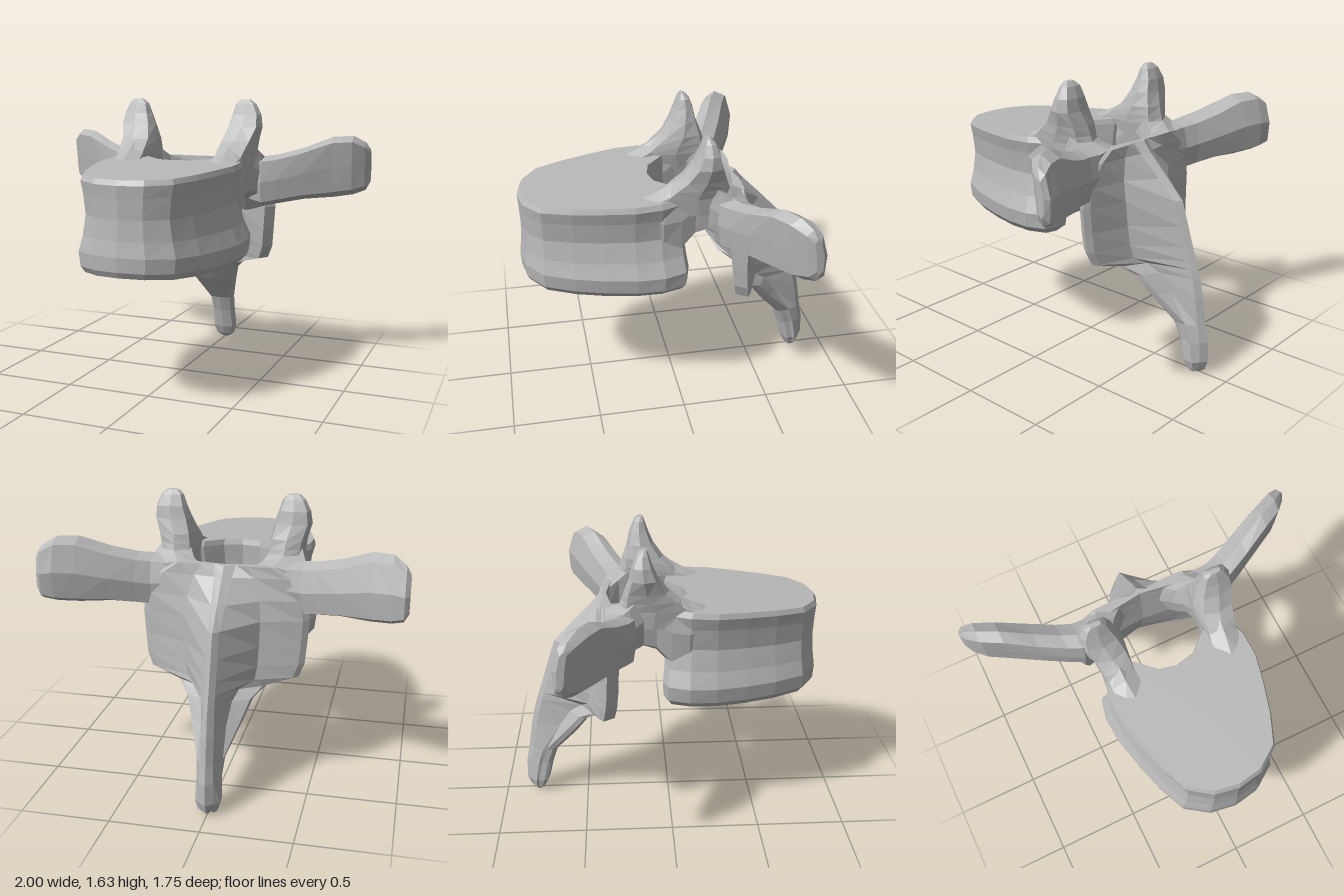
import * as THREE from 'three';

const V = (x, y, z) => new THREE.Vector3(x, y, z);
const centre = ring => ring.reduce((sum, p) => sum.add(p), V(0, 0, 0)).divideScalar(ring.length);

// Skins a row of closed rings, closes both ends, faces it outward, and facets it.
function loft(rings, startCap = centre(rings[0]), endCap = centre(rings[rings.length - 1])) {
  const tris = [];
  const n = rings[0].length;
  for (let j = 0; j < n; j++) {
    const k = (j + 1) % n;
    for (let i = 0; i < rings.length - 1; i++) {
      const a = rings[i], b = rings[i + 1];
      tris.push([a[j], a[k], b[k]], [a[j], b[k], b[j]]);
    }
    const last = rings[rings.length - 1];
    tris.push([startCap, rings[0][k], rings[0][j]], [endCap, last[j], last[k]]);
  }
  const volume = tris.reduce((sum, [a, b, c]) => sum + a.dot(b.clone().cross(c)), 0);
  const points = tris.flatMap(([a, b, c]) => (volume < 0 ? [a, c, b] : [a, b, c]));
  const geometry = new THREE.BufferGeometry().setFromPoints(points);
  geometry.computeVertexNormals();
  return geometry;
}

// Rounded eight-sided section filling the range u0..u1 by v0..v1.
function section(u0, u1, v0, v1, place) {
  return Array.from({ length: 8 }, (_, i) => {
    const r = i % 2 ? 1.14 : 1;
    const a = (i * Math.PI) / 4;
    return place((u0 + u1) / 2 + ((u1 - u0) / 2) * r * Math.cos(a), (v0 + v1) / 2 + ((v1 - v0) / 2) * r * Math.sin(a));
  });
}

// Completes a half outline of [x, z] points running from the midline to the midline.
const mirrorOutline = half => [...half, ...half.slice(1, -1).reverse().map(([x, z]) => [-x, z])];

// Drum-shaped body with flared rims, a hollow back, and upper rear corners drawn in.
function bodyGeometry() {
  const outline = mirrorOutline([
    [0, 0.87], [0.15, 0.845], [0.28, 0.755], [0.35, 0.59], [0.4, 0.42], [0.44, 0.25],
    [0.455, 0.1], [0.43, -0.02], [0.36, -0.045], [0.24, -0.01], [0.12, 0.085], [0, 0.11],
  ]);
  // height, width scale, length scale about the centre
  const levels = [
    [0.73, 0.9, 0.955], [0.765, 0.97, 0.995], [0.85, 1, 1.005], [0.94, 0.92, 0.98],
    [1.06, 0.86, 0.965], [1.18, 0.9, 0.975], [1.25, 0.945, 0.985], [1.28, 0.92, 0.95],
  ];
  const rings = levels.map(([y, sx, sz]) => outline.map(([x, z]) => {
    const t = (y - 0.73) / 0.55;
    const tilt = t * (0.4 - z) * 0.05 + (1 - t) * 0.1 * (z - 0.4) ** 2;
    const taper = 1 - t * Math.max(0, 0.2 - z) * 0.4;
    return V(x * sx * taper, y + tilt, 0.42 + (z - 0.42) * sz);
  }));
  return loft(rings, V(0, 0.74, 0.4), V(0, 1.28, 0.4));
}

// Arch roof that narrows downward into the long rear spine.
function spineGeometry() {
  // height, half width, front z, side depth, rear z, ridge half width
  const levels = [
    [1.28, 0.28, -0.355, 0.025, -0.39, 0.06], [1.22, 0.37, -0.35, 0.03, -0.44, 0.05],
    [1.1, 0.45, -0.34, 0.04, -0.56, 0.04], [0.99, 0.47, -0.33, 0.05, -0.665, 0.03],
    [0.85, 0.46, -0.335, 0.05, -0.71, 0.03], [0.74, 0.45, -0.345, 0.05, -0.745, 0.03],
    [0.665, 0.42, -0.36, 0.045, -0.77, 0.03], [0.62, 0.25, -0.4, 0.05, -0.785, 0.03],
    [0.57, 0.19, -0.46, 0.07, -0.8, 0.03], [0.46, 0.145, -0.535, 0.08, -0.825, 0.035],
    [0.3, 0.075, -0.67, 0.07, -0.85, 0.035], [0.2, 0.065, -0.705, 0.07, -0.87, 0.04],
    [0.08, 0.07, -0.735, 0.065, -0.875, 0.04], [0.025, 0.055, -0.76, 0.045, -0.855, 0.035],
    [0.0, 0.025, -0.785, 0.02, -0.82, 0.015],
  ];
  return loft(levels.map(([y, w, front, depth, rear, ridge]) => {
    const side = front - depth;
    const midX = Math.max(w * 0.45, Math.min(w, 0.07));
    const lower = w > 0.2;
    const flare = lower ? 0.04 : -0.015;
    const hollow = lower ? Math.max(0, 0.95 - y) * 0.2 : 0;
    return mirrorOutline([
      [0, front - hollow], [w * 0.5, front + flare * 0.5 - hollow * 0.5], [w * 0.9, front + flare], [w, (front + side) / 2],
      [w * 0.93, side], [midX, side + (rear - side) * 0.2], [ridge, rear + 0.03], [0, rear],
    ]).map(([x, z]) => V(x, y, z));
  }));
}

// Bridge from the body to the arch: z, inner x, outer x, low y, high y
const pedicle = s => loft([
  [0.22, 0.2, 0.37, 1.12, 1.28], [0.1, 0.2, 0.4, 1.0, 1.335], [0.0, 0.22, 0.39, 0.96, 1.39],
  [-0.08, 0.225, 0.38, 1.05, 1.43], [-0.15, 0.225, 0.39, 1.075, 1.42], [-0.22, 0.205, 0.43, 1.05, 1.36],
  [-0.28, 0.165, 0.46, 0.97, 1.32], [-0.36, 0.08, 0.45, 0.95, 1.28],
].map(([z, x0, x1, y0, y1]) => section(x0, x1, y0, y1, (x, y) => V(s * x, y, z))));

// Upright horn above the arch: y, inner x, outer x, rear z, front z
const upperProcess = s => loft([
  [1.2, 0.225, 0.39, -0.32, 0.12], [1.3, 0.21, 0.4, -0.29, 0.12], [1.35, 0.21, 0.41, -0.27, 0.06],
  [1.4, 0.215, 0.42, -0.255, -0.01], [1.48, 0.235, 0.445, -0.225, -0.07], [1.55, 0.26, 0.435, -0.21, -0.1],
  [1.61, 0.28, 0.405, -0.185, -0.12], [1.635, 0.31, 0.375, -0.16, -0.13],
].map(([y, x0, x1, z0, z1]) => section(x0, x1, z0, z1, (x, z) => V(s * x, y, z))));

// Side wing sweeping outward and back, its top leaning forward: x, rear z, front z, low y, high y
const wing = s => loft([
  [0.3, -0.38, -0.22, 1.03, 1.29], [0.42, -0.39, -0.19, 1.0, 1.3], [0.5, -0.42, -0.225, 1.015, 1.31],
  [0.64, -0.485, -0.295, 1.04, 1.35], [0.8, -0.555, -0.385, 1.05, 1.415], [0.91, -0.6, -0.445, 1.065, 1.42],
  [0.975, -0.612, -0.51, 1.09, 1.38], [1.0, -0.59, -0.55, 1.14, 1.34],
].map(([x, z0, z1, y0, y1]) => section(z0, z1, y0, y1, (z, y) => V(s * x, y, z + Math.max(0, y - 1.22) * 0.2))));

export function createModel() {
  const bone = new THREE.MeshStandardMaterial({ color: 0xb8b8b8 });
  bone.name = 'bone grey';
  const model = new THREE.Group();
  model.name = 'vertebra';
  const add = (name, geometry) => {
    const mesh = new THREE.Mesh(geometry, bone);
    mesh.name = name;
    model.add(mesh);
  };

  add('body', bodyGeometry());
  add('archAndSpine', spineGeometry());
  for (const [side, s] of [['left', 1], ['right', -1]]) {
    add(side + 'Pedicle', pedicle(s));
    add(side + 'UpperProcess', upperProcess(s));
    add(side + 'Wing', wing(s));
  }
  return model;
}
